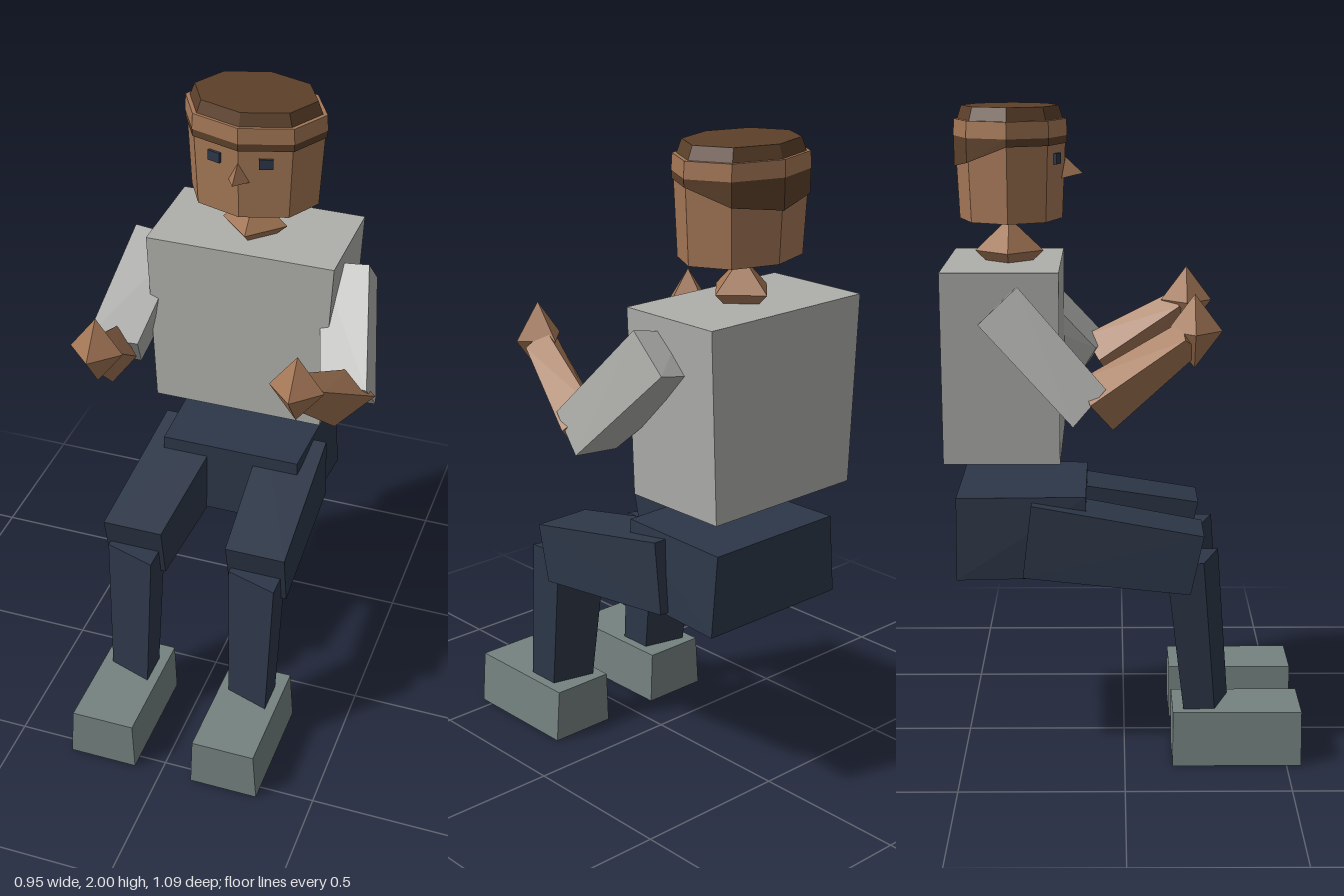
import * as THREE from 'three';
import { ConvexGeometry } from 'three/addons/geometries/ConvexGeometry.js';

const mat = (name, color) => {
  const m = new THREE.MeshStandardMaterial({ color });
  m.name = name;
  return m;
};

export function createModel() {
  const skin = mat('skin', 0xa47756);
  const hair = mat('hair', 0x5c402a);
  const shirt = mat('shirt', 0xaeaeab);
  const trousers = mat('trousers', 0x2d3748);
  const shoe = mat('shoe', 0x748280);

  const model = new THREE.Group();
  model.name = 'seatedFigure';
  model.position.x = 0.007;
  const root = new THREE.Group();
  root.add(model);

  const add = (name, geometry, material) => {
    const mesh = new THREE.Mesh(geometry, material);
    mesh.name = name;
    model.add(mesh);
    return mesh;
  };

  // Faceted solid around a few corners; side = -1 mirrors it across x
  const solid = (name, material, corners, side = 1) =>
    add(name, new ConvexGeometry(corners.map(([x, y, z]) => new THREE.Vector3(x * side, y, z))), material);

  // Four corners of a level rectangle
  const rect = (x0, x1, y, z0, z1) => [[x0, y, z0], [x1, y, z0], [x1, y, z1], [x0, y, z1]];

  const octahedron = (name, material, [x, y, z], [rx, ry, rz]) => {
    const mesh = add(name, new THREE.OctahedronGeometry(1), material);
    mesh.geometry.scale(rx, ry, rz);
    mesh.position.set(x, y, z);
  };

  // Eight-sided oval slice of the head; the hair band drops its rear lower edge
  const headZ = -0.345;
  const headSlice = (name, material, rTop, rBottom, y0, y1, rearDrop = 0) => {
    const h = y1 - y0;
    const g = new THREE.CylinderGeometry(rTop, rBottom, h, 8).toNonIndexed();
    const p = g.attributes.position;
    for (let i = 0; i < p.count; i++) {
      const back = Math.max(0, -p.getZ(i) / rBottom);
      if (p.getY(i) < 0) p.setY(i, p.getY(i) - rearDrop * back);
    }
    g.scale(1, 1, 0.765);
    g.computeVertexNormals();
    add(name, g, material).position.set(0, (y0 + y1) / 2, headZ);
  };

  // Head, hair and neck
  headSlice('head', skin, 0.221, 0.205, 1.66, 1.93);
  headSlice('hairBand', hair, 0.225, 0.224, 1.887, 1.912, 0.07);
  headSlice('brow', skin, 0.223, 0.226, 1.91, 1.96);
  headSlice('hairTop', hair, 0.193, 0.209, 1.96, 2.0);
  octahedron('neck', skin, [0, 1.56, -0.352], [0.105, 0.1, 0.105]);

  // Face
  solid('nose', skin, [[0, 1.845, -0.178], [-0.033, 1.782, -0.19], [0.033, 1.782, -0.19], [0, 1.795, -0.125]]);
  for (const side of [-1, 1]) {
    const eye = add('eye', new THREE.BoxGeometry(0.042, 0.032, 0.009), trousers);
    eye.position.set(0.081 * side, 1.845, -0.2);
    eye.rotation.y = 0.305 * side;
  }

  // Torso and hips
  solid('torso', shirt, [...rect(-0.303, 0.303, 1.53, -0.543, -0.193), ...rect(-0.277, 0.277, 0.95, -0.543, -0.193)]);
  solid('hips', trousers, [
    [-0.228, 0.835, -0.118], [0.228, 0.835, -0.118], [-0.24, 0.835, -0.512], [0.24, 0.835, -0.512],
    [-0.235, 0.583, -0.118], [0.235, 0.583, -0.118], [-0.262, 0.583, -0.512], [0.262, 0.583, -0.512],
  ]);

  for (const side of [-1, 1]) {
    // Arms
    solid('sleeve', shirt, [
      [0.382, 1.5, -0.31], [0.382, 1.39, -0.426], [0.22, 1.47, -0.33], [0.22, 1.36, -0.43],
      [0.457, 1.215, -0.055], [0.466, 1.105, -0.15], [0.3, 1.2, -0.09], [0.315, 1.093, -0.155],
    ], side);
    solid('forearm', skin, [
      [0.475, 1.17, -0.1], [0.367, 1.075, -0.035], [0.3, 1.16, -0.08], [0.38, 1.23, -0.13],
      [0.385, 1.345, 0.175], [0.315, 1.3, 0.225], [0.255, 1.345, 0.18], [0.315, 1.39, 0.165],
    ], side);
    octahedron('hand', skin, [0.312 * side, 1.36, 0.205], [0.084, 0.11, 0.082]);

    // Thighs and shoes
    solid('thigh', trousers, [
      [0.3, 0.73, 0.24], [0.107, 0.73, 0.24], [0.298, 0.546, 0.2], [0.109, 0.546, 0.2],
      [0.278, 0.82, -0.283], [0.065, 0.82, -0.283], [0.278, 0.594, -0.31], [0.065, 0.594, -0.31],
    ], side);
    solid('shoe', shoe, [...rect(0.102, 0.305, 0.17, 0.148, 0.545), ...rect(0.096, 0.317, 0, 0.148, 0.545)], side);

    // Shins, both turned the same way
    const x = 0.203 * side;
    solid('shin', trousers, [
      [x - 0.084, 0.642, 0.24], [x + 0.08, 0.642, 0.292], [x - 0.084, 0.642, 0.125], [x + 0.08, 0.642, 0.165],
      [x - 0.07, 0.165, 0.278], [x + 0.07, 0.165, 0.325], [x - 0.07, 0.165, 0.182], [x + 0.07, 0.165, 0.215],
    ]);
  }

  return root;
}
